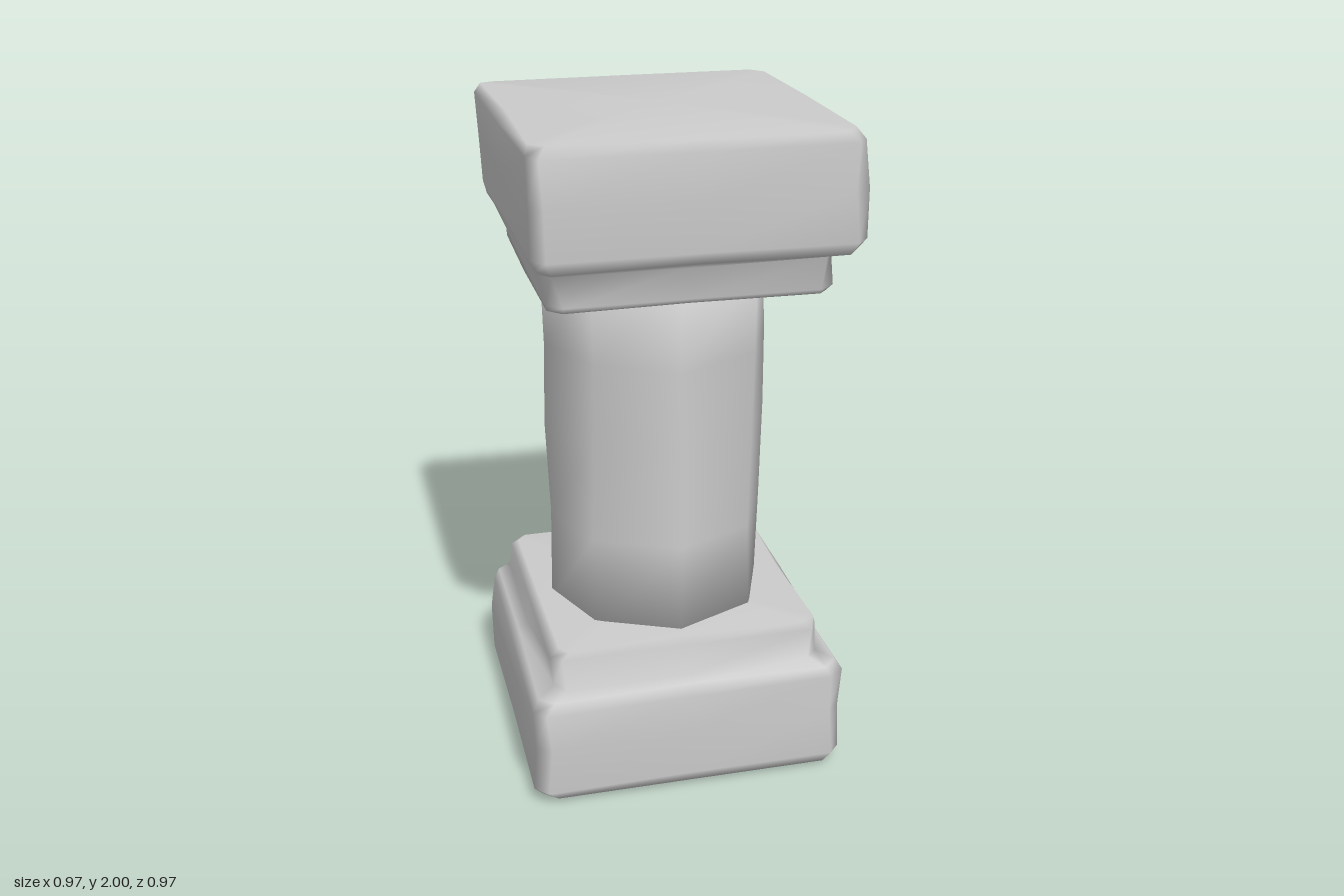
import * as THREE from 'three';

// Seeded noise in -1..1 for the worn stone
let seed = 7;
function noise() {
  seed = (seed * 16807) % 2147483647;
  return (seed / 2147483647) * 2 - 1;
}

// Unit outlines, going round from +x towards -z (counter-clockwise from above)
const c = 0.92;
const SQUARE = [[1, 0], [1, -c], [c, -1], [0, -1], [-c, -1], [-1, -c],
  [-1, 0], [-1, c], [-c, 1], [0, 1], [c, 1], [1, c]];
const OCTAGON = Array.from({ length: 8 }, (_, i) => {
  const a = (i * Math.PI) / 4;
  return [Math.cos(a), -Math.sin(a)];
});

// Smooth closed loft; each ring is [y, xMin, xMax, zMin, zMax]
function loft(name, outline, rings, bottomY, topY, rough) {
  const n = outline.length, pos = [], index = [];
  for (const [y, x0, x1, z0, z1] of rings) {
    for (const [u, v] of outline) {
      pos.push(
        (x0 + x1) / 2 + (u * (x1 - x0)) / 2 + noise() * rough,
        y + noise() * rough * 0.4,
        (z0 + z1) / 2 + (v * (z1 - z0)) / 2 + noise() * rough);
    }
  }
  for (let r = 0; r < rings.length - 1; r++) {
    for (let i = 0; i < n; i++) {
      const a = r * n + i, b = r * n + ((i + 1) % n);
      index.push(a, b, b + n, a, b + n, a + n);
    }
  }
  // End caps as fans
  const bottom = pos.length / 3, top = bottom + 1, last = (rings.length - 1) * n;
  pos.push(0, bottomY, 0, 0, topY, 0);
  for (let i = 0; i < n; i++) {
    const j = (i + 1) % n;
    index.push(bottom, j, i, top, last + i, last + j);
  }
  const geo = new THREE.BufferGeometry();
  geo.setAttribute('position', new THREE.Float32BufferAttribute(pos, 3));
  geo.setIndex(index);
  geo.computeVertexNormals();
  const mesh = new THREE.Mesh(geo, new THREE.MeshStandardMaterial({ color: 0xcccccc }));
  mesh.name = name;
  return mesh;
}

export function createModel() {
  seed = 7;
  const group = new THREE.Group();
  group.name = 'stonePillar';

  // Square plinth with a smaller step on top
  group.add(loft('base', SQUARE, [
    [0.015, -0.455, 0.46, -0.44, 0.45],
    [0.05, -0.478, 0.475, -0.452, 0.47],
    [0.2, -0.475, 0.48, -0.455, 0.468],
    [0.32, -0.475, 0.478, -0.45, 0.472],
    [0.352, -0.455, 0.455, -0.435, 0.45],
    [0.365, -0.412, 0.42, -0.43, 0.405],
    [0.46, -0.408, 0.414, -0.405, 0.4],
    [0.48, -0.39, 0.40, -0.385, 0.385],
  ], 0, 0.48, 0.008));

  // Octagonal shaft
  group.add(loft('shaft', OCTAGON, [
    [0.45, -0.345, 0.33, -0.335, 0.33],
    [0.75, -0.34, 0.33, -0.335, 0.33],
    [1.05, -0.342, 0.333, -0.332, 0.326],
    [1.3, -0.342, 0.333, -0.335, 0.323],
    [1.56, -0.345, 0.335, -0.345, 0.32],
  ], 0.45, 1.56, 0.008));

  // Flared neck and square capital
  group.add(loft('capital', SQUARE, [
    [1.53, -0.385, 0.395, -0.405, 0.41],
    [1.55, -0.392, 0.4, -0.408, 0.42],
    [1.64, -0.42, 0.4, -0.412, 0.428],
    [1.655, -0.43, 0.455, -0.455, 0.465],
    [1.69, -0.446, 0.472, -0.468, 0.478],
    [1.83, -0.448, 0.475, -0.475, 0.48],
    [1.96, -0.45, 0.465, -0.475, 0.478],
    [1.99, -0.435, 0.445, -0.455, 0.46],
  ], 1.53, 2, 0.008));

  return group;
}
